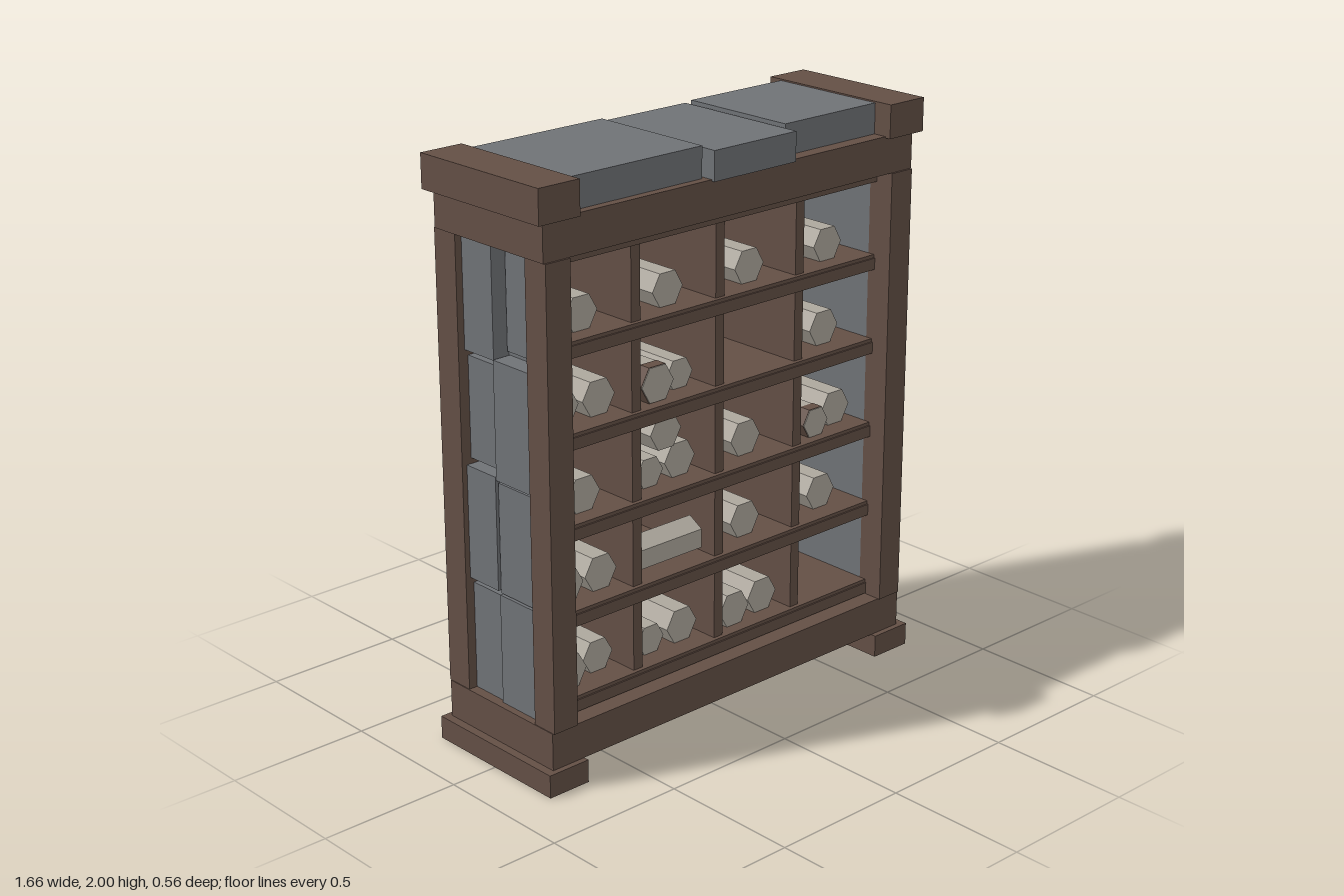
import * as THREE from 'three';

export function createModel() {
  const root = new THREE.Group();
  root.name = 'scrollShelf';
  const mat = (name, color) => {
    const m = new THREE.MeshStandardMaterial({ color, flatShading: true });
    m.name = name;
    return m;
  };
  const wood = mat('wood', 0x634f45);
  const stone = mat('stone', 0x6f7276);
  const slate = mat('slate', 0x42414a);
  const paper = mat('paper', 0xada79d);

  // Box given by its lower and upper corners
  const box = (name, m, x0, x1, y0, y1, z0, z1) => {
    const mesh = new THREE.Mesh(new THREE.BoxGeometry(x1 - x0, y1 - y0, z1 - z0), m);
    mesh.position.set((x0 + x1) / 2, (y0 + y1) / 2, (z0 + z1) / 2);
    mesh.name = name;
    root.add(mesh);
    return mesh;
  };

  // Frame rails
  box('bottomRail', wood, -0.8, 0.8, 0.08, 0.21, -0.26, 0.26);
  box('topRail', wood, -0.8, 0.8, 1.76, 1.89, -0.26, 0.26);

  // Courses of the stone side walls: [y0, y1, outer x]
  const frontCourse = [[0.21, 0.592, 0.775], [0.597, 0.975, 0.77], [0.985, 1.385, 0.778], [1.4, 1.76, 0.72]];
  const backCourse = [[0.21, 0.585, 0.765], [0.605, 0.995, 0.778], [1.015, 1.36, 0.76], [1.38, 1.76, 0.772]];

  for (const s of [-1, 1]) {
    const side = (name, m, x0, x1, ...r) => box(name, m, Math.min(s * x0, s * x1), Math.max(s * x0, s * x1), ...r);
    side('foot', wood, 0.67, 0.83, 0, 0.08, -0.28, 0.28);
    side('cornerCap', wood, 0.67, 0.83, 1.885, 2, -0.28, 0.28);
    side('frontStile', wood, 0.7, 0.797, 0.21, 1.76, 0.17, 0.267);
    side('backStile', wood, 0.7, 0.797, 0.21, 1.76, -0.267, -0.165);
    side('sideBacking', stone, 0.7, 0.71, 0.21, 1.76, -0.165, 0.17);
    for (const [y0, y1, x] of frontCourse) side('sideStone', stone, 0.705, x, y0, y1, -0.018, 0.17);
    for (const [y0, y1, x] of backCourse) side('sideStone', stone, 0.705, x, y0, y1, -0.165, -0.022);
    side('backSeam', stone, 0.68, 0.7, 0.22, 1.75, -0.256, -0.246);
  }

  // Slabs on the top
  box('topSlab', stone, -0.67, -0.13, 1.89, 1.995, -0.24, 0.23);
  box('topSlab', stone, -0.117, 0.24, 1.885, 1.985, -0.245, 0.272);
  box('topSlab', stone, 0.252, 0.67, 1.89, 1.995, -0.23, 0.21);

  // Back wall: dark lining inside, planks and nails outside
  box('backLining', slate, -0.7, 0.7, 0.21, 1.76, -0.245, -0.235);
  box('backBoard', wood, -0.68, 0.68, 0.21, 1.76, -0.255, -0.245);
  for (const x of [-0.512, -0.171, 0.171, 0.512]) {
    box('backPlank', wood, x - 0.164, x + 0.164, 0.21, 1.76, -0.265, -0.25);
    for (const y of [0.28, 1.7]) {
      const nail = new THREE.Mesh(new THREE.CylinderGeometry(0.007, 0.018, 0.012, 6), wood);
      nail.rotation.x = -Math.PI / 2;
      nail.position.set(x, y, -0.27);
      nail.name = 'nail';
      root.add(nail);
    }
  }

  // Shelves with a thin top board, and the upright dividers
  const floors = [0.265, 0.565, 0.86, 1.165, 1.465];
  for (const y of floors) {
    box('shelf', wood, -0.7, 0.7, y - 0.052, y - 0.012, -0.235, 0.2);
    box('shelfTop', wood, -0.7, 0.7, y - 0.012, y, -0.235, 0.195);
  }
  box('ceilingBoard', wood, -0.7, 0.7, 1.72, 1.76, -0.235, 0.2);
  floors.forEach((y, i) => {
    const top = i < 4 ? floors[i + 1] - 0.052 : 1.72;
    for (const x of [-0.365, -0.003, 0.358]) box('divider', wood, x - 0.019, x + 0.019, y, top, -0.235, 0.18);
  });

  // Six-sided scrolls pointing out of the cells: [x, y, radius, front z]
  const hex = (name, m, r, x, y, z0, z1) => {
    const geo = new THREE.CylinderGeometry(r, r, z1 - z0, 6);
    geo.rotateY(Math.PI / 2).rotateX(Math.PI / 2);
    const pos = geo.attributes.position;
    // Keep the flat sides at top and bottom
    let maxY = 0;
    for (let i = 0; i < pos.count; i++) maxY = Math.max(maxY, pos.getY(i));
    if (maxY > r * 0.95) geo.rotateZ(Math.PI / 6);
    const mesh = new THREE.Mesh(geo, m);
    mesh.position.set(x, y, (z0 + z1) / 2);
    mesh.name = name;
    root.add(mesh);
  };
  const R = 0.067, S = 0.057;
  const scrolls = [
    [-0.62, 0.323, R, 0.14], [-0.47, 0.32, 0.063, 0.1], [-0.255, 0.314, S, 0.12], [-0.115, 0.323, R, 0.12],
    [0.1, 0.323, R, 0.15], [0.25, 0.323, R, 0.13],
    [-0.62, 0.623, R, 0.13], [-0.47, 0.623, R, 0.12], [0.175, 0.623, R, 0.12], [0.54, 0.623, R, 0.12],
    [-0.545, 0.918, R, 0.13], [-0.255, 0.91, S, 0.12], [-0.115, 0.918, R, 0.11], [-0.185, 1.034, R, 0.12],
    [0.175, 0.918, R, 0.12], [0.605, 0.918, R, 0.12],
    [-0.62, 1.223, R, 0.12], [-0.47, 1.223, R, 0.12], [-0.115, 1.213, S, 0.11], [0.54, 1.223, R, 0.12],
    ...[-0.545, -0.185, 0.175, 0.54].map((x) => [x, 1.52, 0.065, 0.13]),
  ];
  for (const [x, y, r, z] of scrolls) hex('scroll', paper, r, x, y, -0.2, z);

  // Two scrolls with a wooden band near the front
  for (const [x, y, r] of [[-0.255, 1.226, 0.068], [0.47, 0.908, S]]) {
    hex('bandedScroll', paper, r, x, y, -0.2, 0.16);
    hex('scrollBand', wood, r + 0.002, x, y, 0.115, 0.157);
  }

  // One scroll lying across its cell
  const lying = new THREE.Mesh(new THREE.CylinderGeometry(0.066, 0.066, 0.27, 6), paper);
  lying.geometry.rotateZ(Math.PI / 2);
  const p = lying.geometry.attributes.position;
  let top = 0;
  for (let i = 0; i < p.count; i++) top = Math.max(top, p.getY(i));
  if (top < 0.06) lying.geometry.rotateX(Math.PI / 6);
  lying.position.set(-0.185, 0.628, 0.09);
  lying.name = 'lyingScroll';
  root.add(lying);

  return root;
}
